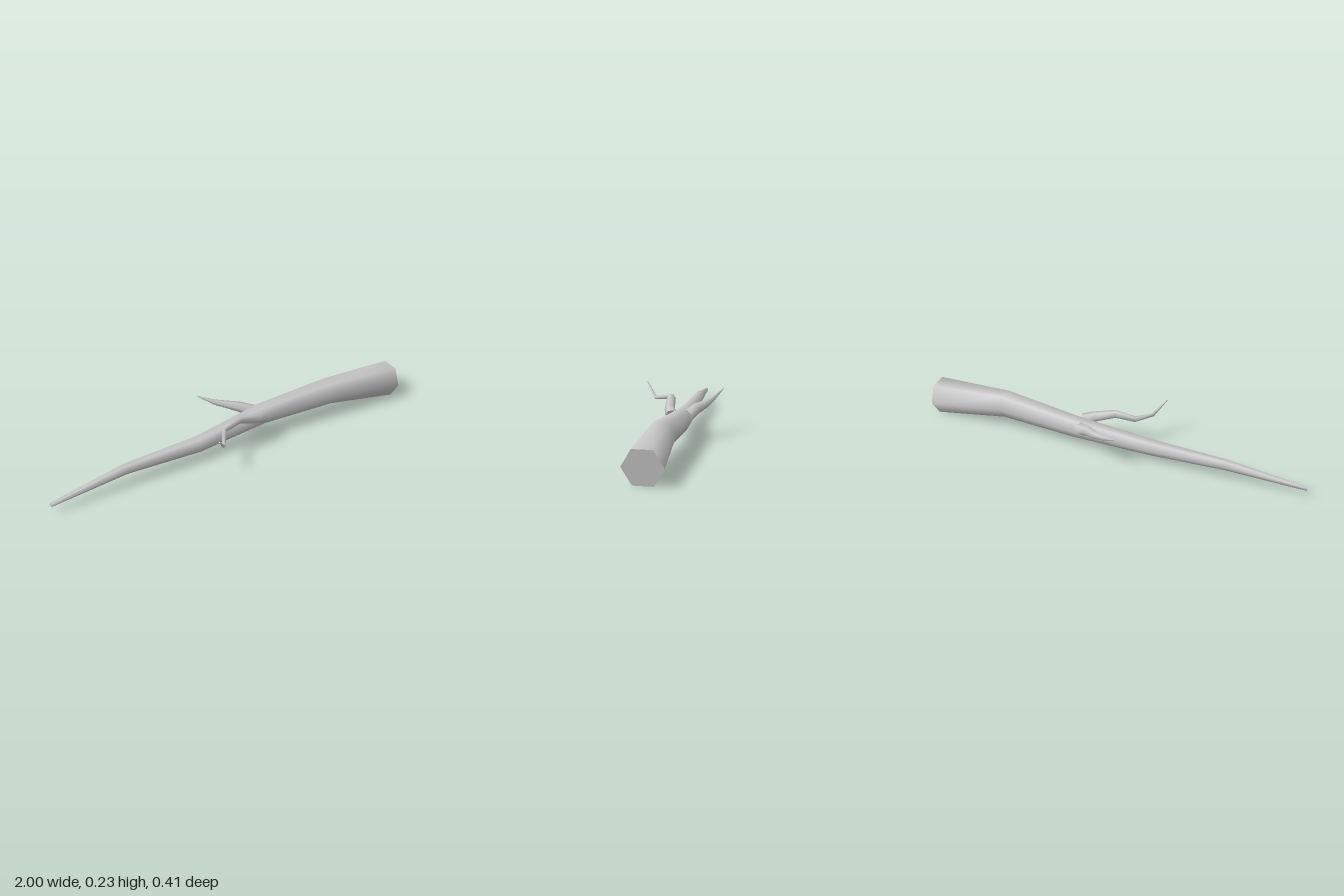
import * as THREE from 'three';

const SIDES = 6;

// Smooth six-sided limb through stations [x, y, z, radius], with flat end caps.
function limb(stations, name, material) {
  const centres = stations.map(([x, y, z]) => new THREE.Vector3(x, y, z));
  const last = centres.length - 1;
  const rings = centres.map((c, i) => {
    const t = new THREE.Vector3();
    if (i > 0) t.add(c.clone().sub(centres[i - 1]).normalize());
    if (i < last) t.add(centres[i + 1].clone().sub(c).normalize());
    t.normalize();
    const u = new THREE.Vector3(0, 0, 1).addScaledVector(t, -t.z).normalize();
    const v = t.clone().cross(u);
    return Array.from({ length: SIDES }, (_, j) => {
      const a = (j / SIDES) * Math.PI * 2;
      return c.clone()
        .addScaledVector(u, Math.cos(a) * stations[i][3])
        .addScaledVector(v, Math.sin(a) * stations[i][3]);
    });
  });

  const positions = [];
  const index = [];
  const addRing = (ring) => ring.forEach((p) => positions.push(p.x, p.y, p.z));
  rings.forEach(addRing);
  for (let i = 0; i < last; i++) {
    for (let j = 0; j < SIDES; j++) {
      const k = (j + 1) % SIDES;
      const a = i * SIDES + j, b = i * SIDES + k;
      const c = a + SIDES, d = b + SIDES;
      index.push(a, b, c, b, d, c);
    }
  }

  // caps use their own vertices so their rims stay sharp
  const start = rings.length * SIDES;
  addRing(rings[0]);
  addRing(rings[last]);
  for (let j = 1; j < SIDES - 1; j++) {
    index.push(start, start + j + 1, start + j);
    index.push(start + SIDES, start + SIDES + j, start + SIDES + j + 1);
  }

  const geometry = new THREE.BufferGeometry();
  geometry.setAttribute('position', new THREE.Float32BufferAttribute(positions, 3));
  geometry.setIndex(index);
  geometry.computeVertexNormals();
  const mesh = new THREE.Mesh(geometry, material);
  mesh.name = name;
  return mesh;
}

export function createModel() {
  const group = new THREE.Group();
  group.name = 'fallenBranch';
  const bark = new THREE.MeshStandardMaterial({ color: 0xc8c8c8 });
  bark.name = 'pale grey bark';

  // main stem, thin tip to thick butt
  group.add(limb([
    [-1, 0.045, -0.048, 0.01],
    [-0.6, 0.085, -0.043, 0.027],
    [-0.2, 0.08, -0.018, 0.041],
    [0.19, 0.113, -0.017, 0.054],
    [0.59, 0.13, 0.033, 0.069],
    [0.988, 0.082, 0.063, 0.093],
  ], 'mainStem', bark));

  // crooked twig on the front side
  group.add(limb([
    [0.165, 0.13, 0.034, 0.03],
    [0.11, 0.149, 0.048, 0.026],
    [0, 0.187, 0.053, 0.02],
    [-0.1, 0.171, 0.063, 0.015],
    [-0.165, 0.153, 0.153, 0.009],
    [-0.224, 0.225, 0.202, 0.003],
  ], 'frontTwig', bark));

  // straighter twig on the back side
  group.add(limb([
    [0.16, 0.125, -0.043, 0.032],
    [0.1, 0.152, -0.082, 0.027],
    [0.05, 0.165, -0.12, 0.02],
    [-0.01, 0.184, -0.156, 0.013],
    [-0.08, 0.221, -0.203, 0.002],
  ], 'backTwig', bark));

  return group;
}
